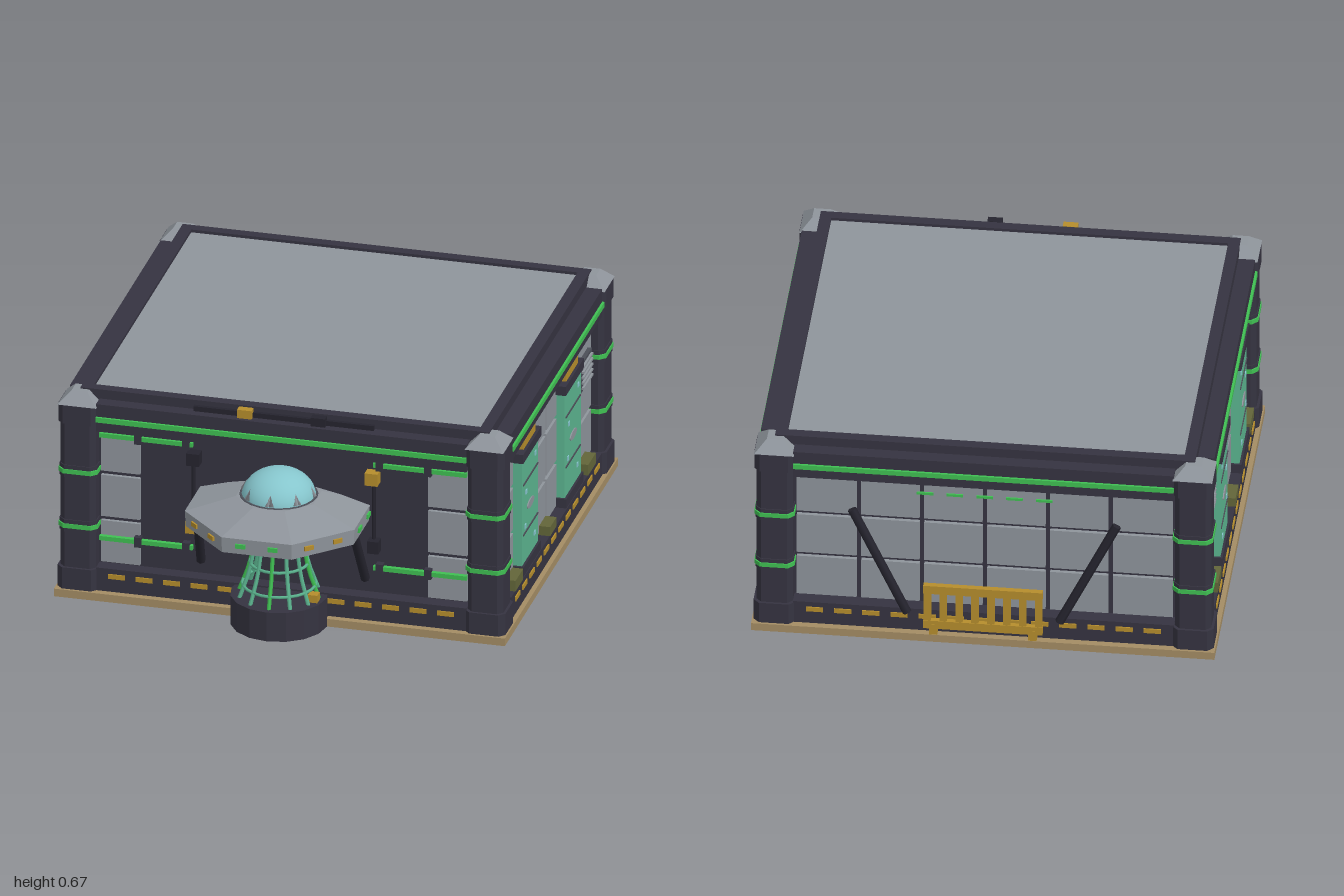
import * as THREE from 'three';

const mat = (name, color) => {
  const m = new THREE.MeshStandardMaterial({ color });
  m.name = name;
  return m;
};

export function createModel() {
  const root = new THREE.Group();
  const dark = mat('dark frame', 0x353340), grey = mat('panel grey', 0x8e949b);
  const green = mat('light green', 0x3fbf52), teal = mat('tank teal', 0x5bb48f);
  const gold = mat('hazard gold', 0xb58d2c), tan = mat('base tan', 0xa38c64);
  const cyan = mat('dome cyan', 0x86c6cd), olive = mat('crate olive', 0x626539);
  const black = mat('strut black', 0x25242e), slate = mat('seam slate', 0x4b4e57);

  const add = (parent, name, geo, m, x = 0, y = 0, z = 0) => {
    const mesh = new THREE.Mesh(geo, m);
    mesh.name = name;
    mesh.position.set(x, y, z);
    parent.add(mesh);
    return mesh;
  };
  const box = (p, name, m, w, h, d, x, y, z) => add(p, name, new THREE.BoxGeometry(w, h, d), m, x, y, z);
  const group = (name, parent = root) => {
    const g = new THREE.Group();
    g.name = name;
    parent.add(g);
    return g;
  };
  const rod = (p, name, m, a, b, r) => {
    const A = new THREE.Vector3(...a), B = new THREE.Vector3(...b), d = B.clone().sub(A);
    const mesh = add(p, name, new THREE.CylinderGeometry(r, r, d.length(), 6), m);
    mesh.position.copy(A).add(B).multiplyScalar(0.5);
    mesh.quaternion.setFromUnitVectors(new THREE.Vector3(0, 1, 0), d.normalize());
    return mesh;
  };
  const flat = (geo) => {
    const g = geo.toNonIndexed();
    g.computeVertexNormals();
    return g;
  };

  // Base slab, with a triangular plate underneath
  box(root, 'baseSlab', tan, 1.4, 0.025, 1.334, 0, 0.0125, 0);
  const tri = new THREE.Shape([[0.62, 0.59], [-0.62, 0.59], [-0.62, -0.59]].map(p => new THREE.Vector2(...p)));
  add(root, 'undersidePlate', new THREE.ExtrudeGeometry(tri, { depth: 0.002, bevelEnabled: false }), grey, 0, -0.001, 0)
    .rotation.x = Math.PI / 2;

  // Building core and roof
  box(root, 'core', dark, 1.28, 0.6, 1.2, 0, 0.325, 0);
  box(root, 'roofPanel', grey, 1.2, 0.04, 1.14, 0, 0.641, 0);
  for (const s of [-1, 1]) {
    box(root, 'roofRimSide', dark, 0.035, 0.06, 1.205, s * 0.617, 0.64, 0);
    box(root, 'roofRimEnd', dark, 1.2, 0.06, 0.033, 0, 0.64, s * 0.586);
  }

  // Corner columns with chamfered edges
  const chamfered = (h, r, c) => {
    const s = new THREE.Shape([[r, r - c], [r - c, r], [c - r, r], [-r, r - c], [-r, c - r], [c - r, -r], [r - c, -r], [r, c - r]]
      .map(p => new THREE.Vector2(...p)));
    return new THREE.ExtrudeGeometry(s, { depth: h, bevelEnabled: false }).rotateX(-Math.PI / 2);
  };
  for (const sx of [-1, 1]) for (const sz of [-1, 1]) {
    const c = group('cornerColumn');
    c.position.set(sx * 0.632, 0, sz * 0.596);
    add(c, 'columnShaft', chamfered(0.54, 0.055, 0.016), dark, 0, 0.06, 0);
    add(c, 'columnFoot', chamfered(0.07, 0.063, 0.018), dark, 0, 0.025, 0);
    add(c, 'columnHead', chamfered(0.06, 0.061, 0.018), dark, 0, 0.57, 0);
    for (const y of [0.225, 0.405]) {
      add(c, 'columnClamp', chamfered(0.04, 0.058, 0.018), dark, 0, y - 0.013, 0);
      add(c, 'columnLight', chamfered(0.014, 0.061, 0.018), green, 0, y, 0);
    }
    const cap = flat(new THREE.CylinderGeometry(0.035, 0.085, 0.036, 4).rotateY(Math.PI / 4));
    add(c, 'columnCap', cap, grey, 0, 0.648, 0);
  }

  // One wall: beam, skirt, light line and hazard dashes (local +z points outward)
  const makeWall = (name, angle, half, depth) => {
    const w = group(name);
    w.rotation.y = angle;
    box(w, 'topBeam', dark, half * 2, 0.085, 0.05, 0, 0.5975, depth + 0.02);
    box(w, 'beamLip', dark, half * 2, 0.02, 0.06, 0, 0.56, depth + 0.015);
    box(w, 'lightLine', green, half * 2, 0.016, 0.009, 0, 0.591, depth + 0.048);
    box(w, 'skirt', dark, half * 2, 0.075, 0.05, 0, 0.0625, depth + 0.02);
    const n = Math.floor((half * 2 - 0.04) / 0.085);
    for (let i = 0; i < n; i++)
      box(w, 'hazardDash', gold, 0.052, 0.015, 0.006, (i - (n - 1) / 2) * 0.085, 0.076, depth + 0.046);
    return w;
  };
  // Grey panels between seams
  const panels = (w, xs, depth) => {
    const ys = [0.1, 0.25, 0.4, 0.55];
    for (let i = 0; i + 1 < xs.length; i++) for (let j = 0; j < 3; j++)
      box(w, 'wallPanel', grey, xs[i + 1] - xs[i] - 0.014, ys[j + 1] - ys[j] - 0.014, 0.012,
        (xs[i] + xs[i + 1]) / 2, (ys[j] + ys[j + 1]) / 2, depth + 0.006);
  };

  // Side walls; u is the model's z
  for (const s of [1, -1]) {
    const d = 0.64;
    const w = makeWall(s > 0 ? 'leftWall' : 'rightWall', s * Math.PI / 2, 0.535, d);
    const at = (name, m, bw, bh, bd, u, y, z) => box(w, name, m, bw, bh, bd, -s * u, y, d + z);
    panels(w, [-0.535, -0.38, -0.19, 0, 0.19, 0.38, 0.535], d);
    for (const u of [0.285, -0.217]) {
      at('tankPanel', teal, 0.19, 0.36, 0.035, u, 0.305, 0.02);
      at('tankHead', dark, 0.215, 0.03, 0.045, u, 0.492, 0.022);
      at('tankFoot', dark, 0.205, 0.03, 0.045, u, 0.118, 0.022);
      at('tankCap', gold, 0.14, 0.025, 0.035, u, 0.519, 0.018);
      for (const y of [0.23, 0.395]) at('tankSeam', slate, 0.17, 0.005, 0.005, u, y, 0.038);
      for (const [du, y] of [[-0.06, 0.44], [0.05, 0.36], [0.06, 0.25], [-0.05, 0.18]])
        at('tankBubble', cyan, 0.014, 0.014, 0.005, u + du, y, 0.038);
      const disc = add(w, 'tankBadge', new THREE.CylinderGeometry(0.038, 0.038, 0.006, 16), grey, -s * u, 0.303, d + 0.038);
      disc.rotation.x = Math.PI / 2;
      disc.scale.z = 0.35;
    }
    at('ventFrame', slate, 0.13, 0.095, 0.02, -0.425, 0.417, 0.015);
    for (let i = 0; i < 5; i++) at('ventSlat', grey, 0.11, 0.007, 0.008, -0.425, 0.382 + i * 0.0175, 0.028);
    for (const [u, bw, h] of [[0.445, 0.09, 0.035], [0.045, 0.075, 0.03], [-0.41, 0.09, 0.035]])
      at('crate', olive, bw, h, 0.045, u, 0.1 + h / 2, 0.024);
    at('lightStrip', green, 0.15, 0.013, 0.014, 0.455, 0.53, 0.018);
    at('stripClamp', dark, 0.02, 0.03, 0.02, 0.46, 0.53, 0.02);
  }

  // Front wall with light strips, cable boxes and overhead rail
  const front = makeWall('frontWall', 0, 0.575, 0.6);
  panels(front, [-0.575, -0.44], 0.6);
  panels(front, [0.44, 0.575], 0.6);
  for (const s of [-1, 1]) {
    for (const y of [0.19, 0.53]) {
      box(front, 'lightStrip', green, 0.29, 0.014, 0.014, s * 0.425, y, 0.62);
      for (const x of [0.3, 0.45]) box(front, 'stripClamp', dark, 0.022, 0.032, 0.022, s * x, y, 0.62);
    }
    box(front, 'cableBox', s > 0 ? gold : black, 0.04, 0.04, 0.035, s * 0.277, 0.487, 0.622);
    box(front, 'cableBox', s > 0 ? black : gold, 0.035, 0.04, 0.035, s * 0.282, 0.263, 0.622);
    rod(front, 'cable', black, [s * 0.28, 0.27, 0.615], [s * 0.28, 0.49, 0.615], 0.006);
    rod(front, 'saucerStrut', black, [s * 0.255, 0.15, 0.62], [s * 0.24, 0.375, 0.73], 0.014);
  }
  box(front, 'overheadRail', black, 0.56, 0.022, 0.012, 0, 0.645, 0.612);
  box(front, 'railBox', gold, 0.045, 0.035, 0.025, -0.118, 0.65, 0.62);
  box(front, 'railBox', black, 0.045, 0.035, 0.025, 0.11, 0.65, 0.62);

  // Back wall with barrier and diagonal struts
  const back = makeWall('backWall', Math.PI, 0.575, 0.6);
  panels(back, [-0.575, -0.38, -0.19, 0, 0.19, 0.38, 0.575], 0.6);
  for (const s of [-1, 1]) rod(back, 'wallStrut', black, [s * 0.4, 0.43, 0.62], [s * 0.23, 0.09, 0.65], 0.014);
  for (let i = 0; i < 5; i++) box(back, 'lightDash', green, 0.05, 0.008, 0.006, (i - 2) * 0.09, 0.5, 0.614);
  const fence = group('barrier', back);
  for (const y of [0.06, 0.185]) box(fence, 'barrierRail', gold, 0.36, 0.028, 0.018, 0, y, 0.656);
  for (let i = 0; i < 8; i++) box(fence, 'barrierBar', gold, 0.022, 0.13, 0.014, (i - 3.5) * 0.048, 0.122, 0.656);
  for (const s of [-1, 1]) box(fence, 'barrierFoot', gold, 0.025, 0.035, 0.022, s * 0.15, 0.043, 0.655);

  // Pedestal and flared tube legs
  const stand = group('saucerStand');
  stand.position.z = 0.668;
  add(stand, 'pedestal', flat(new THREE.CylinderGeometry(0.148, 0.148, 0.095, 16)), dark, 0, 0.0475, 0);
  box(stand, 'pedestalSwitch', gold, 0.03, 0.025, 0.03, 0.115, 0.107, 0.03);
  for (let i = 0; i < 12; i++) {
    const a = i / 12 * Math.PI * 2, p = (r, y) => new THREE.Vector3(Math.sin(a) * r, y, Math.cos(a) * r);
    const curve = new THREE.CatmullRomCurve3([p(0.125, 0.09), p(0.09, 0.19), p(0.07, 0.32)]);
    add(stand, 'beamTube', new THREE.TubeGeometry(curve, 6, 0.0065, 5), i % 3 ? teal : green);
  }
  for (const [y, r] of [[0.13, 0.111], [0.2, 0.088], [0.27, 0.077]])
    add(stand, 'beamRing', new THREE.TorusGeometry(r, 0.005, 5, 24).rotateX(Math.PI / 2), teal, 0, y, 0);

  // Eight-sided saucer with dome
  const saucer = group('saucer');
  saucer.position.set(0, 0, 0.672);
  const profile = [[0.001, 0.3], [0.1, 0.302], [0.2, 0.318], [0.282, 0.335], [0.285, 0.385], [0.13, 0.425], [0.001, 0.43]]
    .map(p => new THREE.Vector2(...p));
  add(saucer, 'saucerHull', flat(new THREE.LatheGeometry(profile, 8, Math.PI / 8)), grey);
  add(saucer, 'underRing', new THREE.CylinderGeometry(0.115, 0.09, 0.02, 24), dark, 0, 0.298, 0);
  add(saucer, 'domeCollar', new THREE.CylinderGeometry(0.118, 0.125, 0.014, 24), slate, 0, 0.42, 0);
  const dome = add(saucer, 'dome', new THREE.SphereGeometry(0.113, 24, 10, 0, Math.PI * 2, 0, Math.PI / 2), cyan, 0, 0.415, 0);
  dome.scale.y = 0.8;
  for (let i = 0; i < 8; i++) {
    const arm = group('saucerFacet', saucer);
    arm.rotation.y = i * Math.PI / 4;
    for (const x of [-0.05, 0.05]) box(arm, 'rimLight', i % 2 ? gold : green, 0.03, 0.014, 0.008, x, 0.362, 0.264);
    const fin = add(arm, 'domeMark', new THREE.ConeGeometry(0.016, 0.035, 3), grey, 0, 0.446, 0.106);
    fin.rotation.x = -0.4;
    fin.scale.z = 0.3;
  }
  return root;
}
